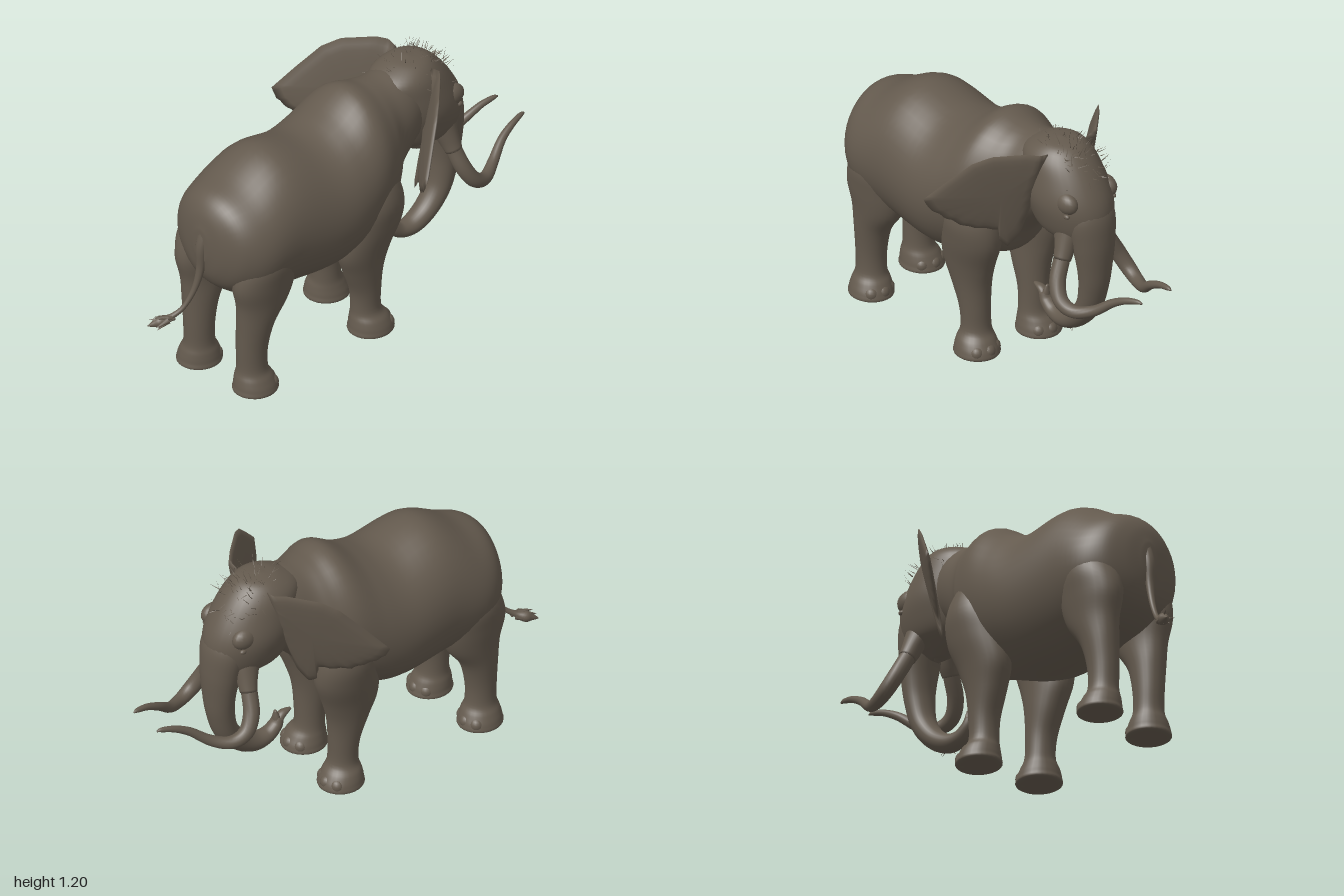
import * as THREE from 'three';

const skin = new THREE.MeshStandardMaterial({ color: 0x645a4e, side: THREE.DoubleSide });
skin.name = 'grey brown hide';

const V = (x, y, z) => new THREE.Vector3(x, y, z);

function addMesh(parent, name, geometry) {
  const mesh = new THREE.Mesh(geometry, skin);
  mesh.name = name;
  parent.add(mesh);
  return mesh;
}

// Joins equal-length closed rings of points into one smooth surface
function joinRings(rings) {
  const n = rings[0].length, index = [];
  for (let i = 0; i < rings.length - 1; i++) {
    for (let j = 0; j < n; j++) {
      const a = i * n + j, b = i * n + (j + 1) % n;
      index.push(a, b, a + n, b, b + n, a + n);
    }
  }
  const g = new THREE.BufferGeometry().setFromPoints(rings.flat());
  g.setIndex(index);
  g.computeVertexNormals();
  return g;
}

// Sections are [x, y, z, radius in the side plane, radius across];
// they stand square to the axis, or to the path itself when there is no axis
function loft(rows, axis = null, steps = 5, sides = 28) {
  const path = new THREE.CatmullRomCurve3(rows.map(r => V(r[0], r[1], r[2])), false, 'catmullrom', 0.5);
  const size = new THREE.CatmullRomCurve3(rows.map(r => V(r[3], r[4], 0)), false, 'catmullrom', 0.5);
  const rings = [], count = (rows.length - 1) * steps;
  for (let i = 0; i <= count; i++) {
    const p = path.getPoint(i / count), r = size.getPoint(i / count);
    const t = axis || path.getTangent(i / count);
    const v = V(0, 0, 1).addScaledVector(t, -t.z).normalize();
    const u = v.clone().cross(t);
    const ring = [];
    for (let j = 0; j < sides; j++) {
      const a = j / sides * Math.PI * 2;
      ring.push(p.clone()
        .addScaledVector(u, Math.cos(a) * Math.max(r.x, 0.001))
        .addScaledVector(v, Math.sin(a) * Math.max(r.y, 0.001)));
    }
    rings.push(ring);
  }
  const ends = [rings[0], rings[count]].map(ring => {
    const c = ring.reduce((s, q) => s.add(q), V(0, 0, 0)).divideScalar(sides);
    return ring.map(q => c.clone().lerp(q, 0.02));
  });
  return joinRings([ends[0], ...rings, ends[1]]);
}

function ball(parent, name, x, y, z, rx, ry, rz) {
  const m = addMesh(parent, name, new THREE.SphereGeometry(1, 18, 12));
  m.position.set(x, y, z);
  m.scale.set(rx, ry, rz);
}

// Ear: a thin lens with a ragged lower rim, sloping back from the head
function earGeometry(s) {
  const outline = [[.11, 1.135], [.2, 1.155], [.31, 1.14], [.365, 1.1], [.43, 1.0], [.49, .9], [.465, .85],
    [.41, .8], [.34, .75], [.275, .735], [.235, .735], [.215, .66], [.19, .64], [.165, .7], [.14, .85], [.11, 1.0]];
  const shape = new THREE.Shape(outline.map(p => new THREE.Vector2(...p)));
  shape.closePath();
  const rim = shape.getSpacedPoints(80).slice(0, 80);
  if (s < 0) rim.reverse();
  const rings = [], n = 8;
  for (let k = -n; k <= n; k++) {
    const r = Math.max(0.01, 1 - Math.abs(k) / n);
    const lift = Math.sign(k) * 0.018 * Math.sqrt(1 - r * r);
    rings.push(rim.map((p, i) => {
      const ragged = p.y < 0.86 && p.x > 0.18 ? 0.004 * Math.sin(i * 1.9) : 0;
      const z = 0.25 + (p.x - 0.25) * r, y = 0.93 + (p.y + ragged - 0.93) * r;
      // the root flattens against the head
      const x = 0.38 - 0.93 * Math.max(z - 0.18, -0.02) - 0.28 * (1 - y);
      return V(x + lift * 0.7, y, s * (z + lift * 0.7));
    }));
  }
  return joinRings(rings);
}

// Fine bristles as slim triangles scattered over an ellipsoid patch
function bristles(count, centre, radii, aim, spread, length) {
  let seed = 7;
  const rnd = () => (seed = (seed * 16807) % 2147483647) / 2147483647;
  const pts = [];
  for (let i = 0; i < count; i++) {
    const d = aim.clone().add(V(rnd() - .5, rnd() - .5, rnd() - .5).multiplyScalar(spread)).normalize();
    const root = d.clone().multiply(radii).add(centre);
    const lean = V(rnd() - .5, rnd() - .5, rnd() - .5).multiplyScalar(1.8);
    const tip = root.clone().addScaledVector(d.clone().add(lean).normalize(), length * (.6 + rnd() * .7));
    const side = d.clone().cross(lean).normalize().multiplyScalar(0.002);
    pts.push(root.clone().sub(side), root.clone().add(side), tip);
  }
  const g = new THREE.BufferGeometry().setFromPoints(pts);
  g.computeVertexNormals();
  return g;
}

function addLeg(parent, name, rows, s, shift) {
  const leg = new THREE.Group();
  leg.name = name;
  leg.position.x = shift;
  addMesh(leg, 'legAndFoot', loft(rows.map(r => [r[0], r[1], r[2] * s, r[3], r[4]]), DOWN));
  // soft toes around the front of the foot
  const foot = rows[rows.length - 3];
  for (let k = -1; k <= 1; k++) {
    const a = k * 0.75;
    ball(leg, 'toe', foot[0] + Math.cos(a) * foot[3] * 0.7, 0.036,
      s * foot[2] + Math.sin(a) * foot[4] * 0.7, 0.033, 0.034, 0.034);
  }
  parent.add(leg);
}

const X = V(1, 0, 0), DOWN = V(0, -1, 0);

export function createModel() {
  const model = new THREE.Group();
  model.name = 'elephant';

  // Barrel of the body running into the neck
  addMesh(model, 'bodyAndNeck', loft([
    [-.792, .74, 0, .07, .04], [-.77, .735, 0, .16, .135], [-.72, .73, 0, .225, .222], [-.62, .72, 0, .275, .278],
    [-.44, .745, 0, .335, .29], [-.22, .715, 0, .325, .305], [-.08, .745, 0, .33, .301], [.05, .805, 0, .345, .28],
    [.15, .82, 0, .315, .238], [.22, .88, 0, .25, .188], [.32, .935, 0, .2, .16], [.42, .95, 0, .14, .13]], X, 6, 40));

  // Head, from crown to chin
  addMesh(model, 'head', loft([
    [.4, 1.165, 0, .01, .01], [.4, 1.15, 0, .09, .085], [.385, 1.1, 0, .165, .135], [.41, 1.02, 0, .2, .158],
    [.44, .93, 0, .215, .17], [.46, .85, 0, .208, .158], [.47, .77, 0, .18, .128], [.475, .725, 0, .11, .078],
    [.485, .69, 0, .03, .025]], DOWN, 6, 36));
  addMesh(model, 'lowerLip', loft([
    [.42, .77, 0, .05, .06], [.46, .73, 0, .035, .045], [.49, .7, 0, .02, .03], [.5, .68, 0, .006, .01]]));

  // Trunk, curling back under the chin, with two fingers at the tip
  addMesh(model, 'trunk', loft([
    [.56, .97, 0, .05, .075], [.58, .86, 0, .09, .115], [.6, .74, 0, .083, .103], [.608, .62, 0, .068, .084],
    [.603, .52, 0, .06, .071], [.575, .41, 0, .053, .062], [.51, .325, 0, .047, .056], [.43, .278, 0, .042, .049],
    [.36, .278, 0, .035, .04], [.312, .312, 0, .029, .034], [.295, .35, 0, .022, .028]], null, 6));
  addMesh(model, 'trunkFinger', loft([
    [.31, .32, 0, .022, .026], [.28, .352, 0, .018, .022], [.255, .362, 0, .012, .016], [.232, .366, 0, .005, .007]]));
  addMesh(model, 'trunkFinger', loft([
    [.305, .33, 0, .02, .026], [.308, .36, 0, .014, .018], [.312, .388, 0, .005, .007]]));

  // Leg tops lean inward so they melt into the shoulder and hip
  const foreRows = [
    [.04, .92, .1, .05, .05], [.045, .82, .15, .1, .1], [.045, .7, .18, .14, .115], [.035, .58, .178, .152, .106],
    [.005, .45, .165, .135, .088], [.008, .34, .155, .1, .076], [.025, .22, .15, .072, .066], [.03, .12, .148, .068, .066],
    [.04, .075, .157, .086, .084], [.048, .035, .16, .1, .096], [.048, .006, .16, .096, .092], [.048, .003, .16, .01, .01]];
  const hindRows = [
    [-.54, .88, .09, .05, .05], [-.555, .78, .135, .1, .1], [-.57, .67, .16, .145, .115], [-.58, .56, .163, .16, .102],
    [-.585, .45, .16, .132, .087], [-.62, .34, .155, .09, .075], [-.635, .22, .15, .072, .066], [-.635, .12, .15, .07, .066],
    [-.63, .075, .155, .086, .082], [-.625, .035, .16, .098, .093], [-.625, .006, .16, .095, .09], [-.625, .003, .16, .01, .01]];

  // Paired parts, one set for each side
  for (const s of [1, -1]) {
    addLeg(model, 'frontLeg', foreRows, s, s > 0 ? -.005 : .035);
    addLeg(model, 'hindLeg', hindRows, s, s > 0 ? .005 : -.025);
    addMesh(model, 'ear', earGeometry(s));
    addMesh(model, 'tusk', loft([
      [.53, .76, .1, .035, .035], [.545, .68, .13, .036, .036], [.565, .59, .175, .036, .036],
      [.61, .52, .197, .034, .034], [.68, .492, .185, .029, .029], [.76, .515, .145, .024, .024],
      [.84, .575, .112, .019, .019], [.91, .612, .098, .015, .015], [.97, .628, .087, .011, .011],
      [.995, .628, .083, .004, .004]].map(r => [r[0], r[1], r[2] * s, r[3], r[4]]), null, 5, 16));
    // socket tapers from the cheek down onto the tusk
    addMesh(model, 'tuskSocket', loft([
      [.51, .86, .08, .05, .04], [.525, .79, .088, .058, .046], [.54, .72, .11, .046, .044],
      [.548, .672, .132, .038, .038]].map(r => [r[0], r[1], r[2] * s, r[3], r[4]])));
    ball(model, 'brow', .555, .945, s * .112, .06, .05, .04);
    ball(model, 'eye', .578, .896, s * .134, .016, .011, .011);
  }

  // Tail with a ragged tuft
  addMesh(model, 'tail', loft([
    [-.76, .8, 0, .03, .03], [-.785, .72, 0, .025, .027], [-.79, .62, 0, .018, .02], [-.815, .52, -.01, .013, .014],
    [-.86, .435, -.03, .011, .011], [-.91, .395, -.055, .014, .014], [-.95, .378, -.078, .026, .026],
    [-.975, .37, -.092, .015, .015], [-.998, .362, -.106, .002, .002]], null, 5, 12));
  for (let i = 0; i < 9; i++) {
    const a = i * 0.9;
    const lock = addMesh(model, 'tailTuft', new THREE.ConeGeometry(.013, .065, 6));
    lock.position.set(-.93 - .012 * (i % 4), .383 + Math.sin(a) * .02, -.07 + Math.cos(a) * .018);
    lock.quaternion.setFromUnitVectors(V(0, 1, 0),
      V(-1, -.25 + Math.sin(a) * .5, -.55 + Math.cos(a) * .4).normalize());
  }

  // Bristles on the crown and below the trunk
  addMesh(model, 'crownBristles', bristles(120, V(.41, 1.0, 0), V(.2, .16, .16), V(.45, 1, 0), 1.9, .045));
  addMesh(model, 'trunkBristles', bristles(14, V(.43, .278, 0), V(.08, .04, .045), V(0, -1, 0), 1.6, .02));
  return model;
}
